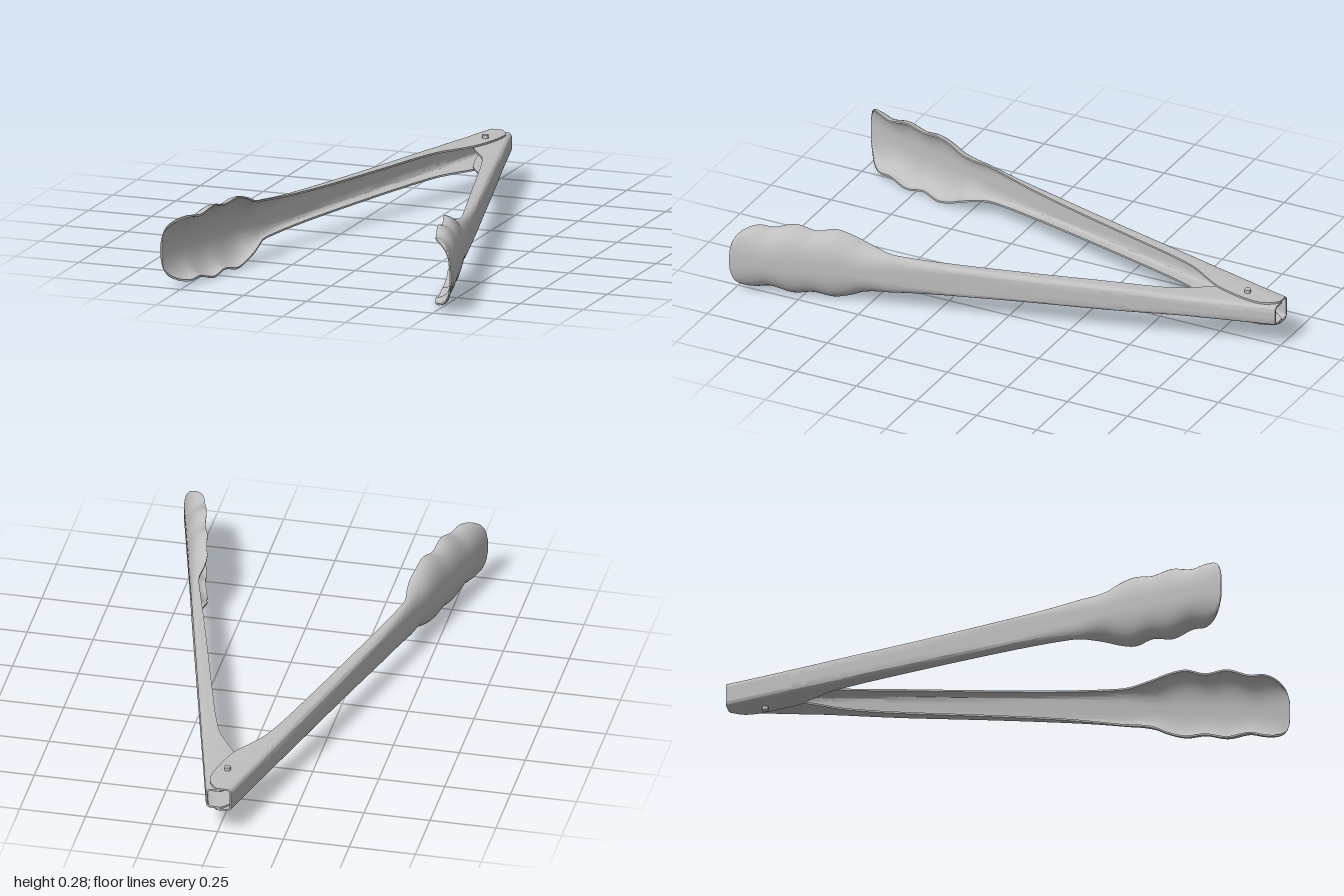
import * as THREE from 'three';
import { toCreasedNormals } from 'three/addons/utils/BufferGeometryUtils.js';

const MID_Y = 0.14, MID_X = -0.004, WALL = 0.007;

// Arm stations: z, half height, depth of the folded sides
const STATIONS = [
  [-1, 0.047, 0.055], [-0.985, 0.047, 0.075], [-0.95, 0.047, 0.105], [-0.9, 0.047, 0.121],
  [-0.8, 0.047, 0.126], [-0.73, 0.048, 0.12], [-0.67, 0.048, 0.098], [-0.6, 0.049, 0.072],
  [-0.5, 0.05, 0.06], [-0.3, 0.051, 0.053], [0, 0.055, 0.046], [0.2, 0.061, 0.04],
  [0.34, 0.07, 0.034], [0.42, 0.078, 0.034], [0.48, 0.088, 0.055], [0.53, 0.102, 0.069],
  [0.575, 0.122, 0.07], [0.64, 0.138, 0.074], [0.71, 0.126, 0.07], [0.79, 0.14, 0.078],
  [0.87, 0.12, 0.076], [0.92, 0.126, 0.07], [0.955, 0.119, 0.05], [0.98, 0.1, 0.026],
  [0.993, 0.075, 0.013], [1, 0.045, 0.009],
];
const profile = new THREE.CatmullRomCurve3(STATIONS.map((s) => new THREE.Vector3(...s)), false, 'centripetal');

// Channel section as [depth, y], from the upper lip round the back to the lower lip
function channel(H, D, rx, ry, inset) {
  const h = H - inset;
  const a = Math.max(rx - inset, 0.002), b = Math.max(ry - inset, 0.002);
  const top = [];
  for (let i = 0; i < 3; i++) top.push([THREE.MathUtils.lerp(D, inset + a, i / 3), h]);
  for (let i = 0; i <= 10; i++) {
    const t = (i / 10) * Math.PI / 2;
    top.push([inset + a * (1 - Math.sin(t)), h - b * (1 - Math.cos(t))]);
  }
  top.push([inset, (h - b) * 0.4]);
  return [...top, ...top.map(([d, y]) => [d, -y]).reverse()];
}

// One sheet metal arm with a scalloped scoop; shrink nests it inside its partner at the hinge
function armGeometry(side, shrink) {
  const rings = 150, pos = [], idx = [];
  let n = 0;
  for (let i = 0; i <= rings; i++) {
    const { x: z, y: h, z: D } = profile.getPoint(i / rings);
    const H = h - shrink * (1 - THREE.MathUtils.smoothstep(z, -0.7, -0.3));
    const s = THREE.MathUtils.smoothstep(z, 0.1, 0.58);
    const rx = THREE.MathUtils.lerp(0.018, D * 0.95, s);
    const ry = THREE.MathUtils.lerp(0.018, H * 0.88, s);
    const back = 0.048 + 0.2645 * (z + 1);
    const loop = [...channel(H, D, rx, ry, 0), ...channel(H, D, rx, ry, WALL).reverse()];
    n = loop.length;
    for (const [d, y] of loop) pos.push(MID_X + side * (back - d), MID_Y + y, z);
  }
  const tri = (a, b, c) => (side > 0 ? idx.push(a, b, c) : idx.push(a, c, b));
  for (let i = 0; i < rings; i++) {
    for (let j = 0; j < n; j++) {
      const a = i * n + j, b = i * n + (j + 1) % n;
      tri(a, a + n, b);
      tri(b, a + n, b + n);
    }
  }
  // Close the sheet edge at both ends
  const e = rings * n;
  for (let j = 0; j < n / 2 - 1; j++) {
    const k = n - 1 - j;
    tri(j, j + 1, k);
    tri(j + 1, k - 1, k);
    tri(e + j, e + k, e + j + 1);
    tri(e + j + 1, e + k, e + k - 1);
  }
  const g = new THREE.BufferGeometry();
  g.setAttribute('position', new THREE.Float32BufferAttribute(pos, 3));
  g.setIndex(idx);
  return toCreasedNormals(g, 0.7);
}

export function createModel() {
  const group = new THREE.Group();
  group.name = 'tongs';
  const steel = new THREE.MeshStandardMaterial({ color: 0xbfbfbf });
  steel.name = 'brushed steel';
  const add = (name, geometry) => {
    const mesh = new THREE.Mesh(geometry, steel);
    mesh.name = name;
    group.add(mesh);
    return mesh;
  };

  add('leftArm', armGeometry(1, 0.0075));
  add('rightArm', armGeometry(-1, 0));

  // Hinge pin through both arms
  const pin = toCreasedNormals(new THREE.CylinderGeometry(0.012, 0.012, 0.12, 24), 0.7);
  add('hingePin', pin).position.set(-0.007, MID_Y, -0.86);

  return group;
}
